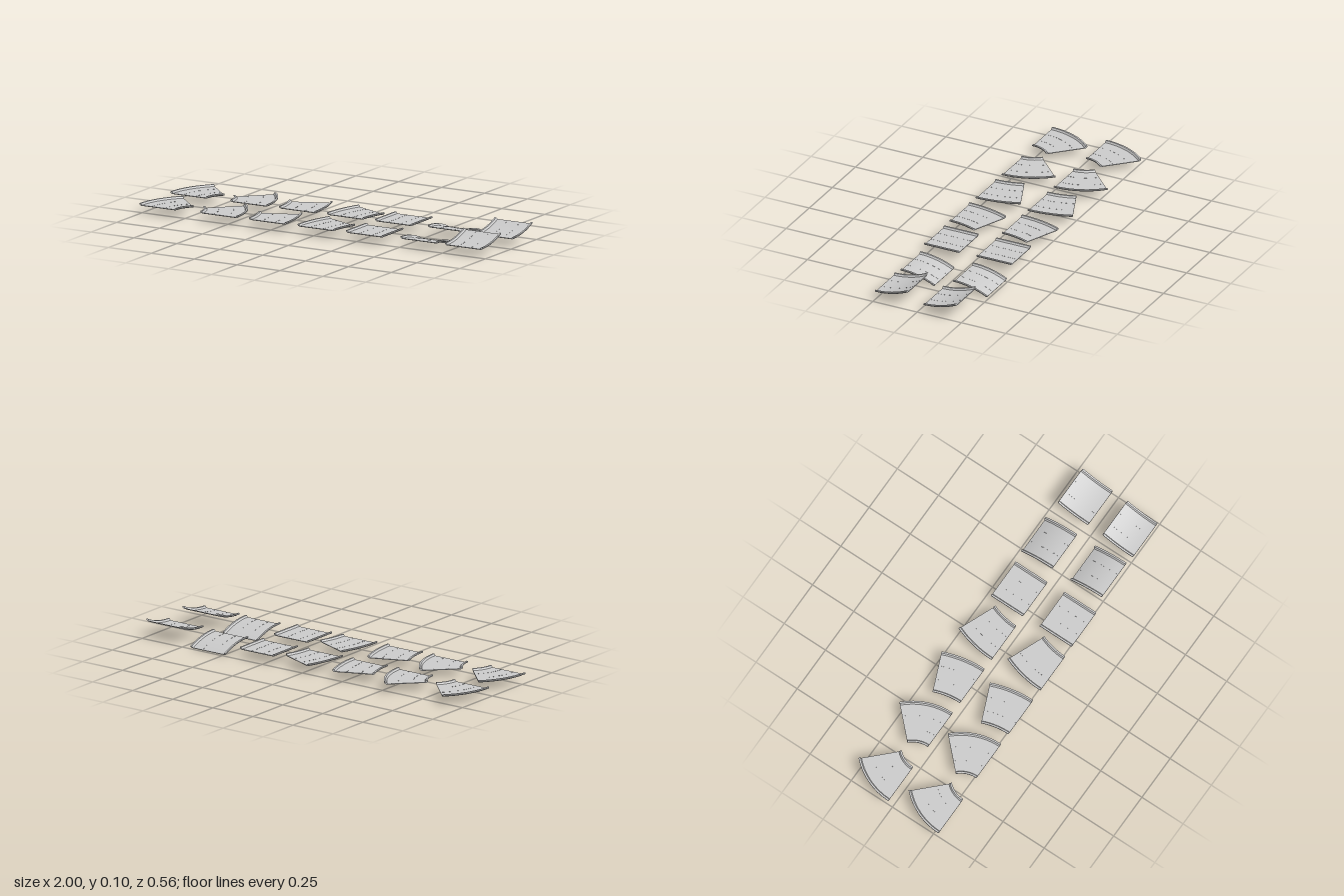
import * as THREE from 'three';
import { toCreasedNormals } from 'three/addons/utils/BufferGeometryUtils.js';

const BASE = 0.0425;   // underside height of the level tiles
const LENGTH = 0.193;

// Tile paths: map (side, height, t) to a point; travel runs towards -z
const straight = (s, h, t) => [s, h, -LENGTH * t];
const turn = (k, R, angle) => (s, h, t) => {
  const a = angle * t, r = R - k * s;
  return [k * (R - r * Math.cos(a)), h, -r * Math.sin(a)];
};
const ramp = (k, R, angle) => (s, h, t) => {
  const a = angle * t, r = R - k * h;
  return [s, k * (R - r * Math.cos(a)), -r * Math.sin(a)];
};

// Thin road slab with raised, flared kerbs (counter-clockwise)
const half = [[0.1, 0], [0.107, 0.004], [0.11, 0.007], [0.11, 0.0125], [0.101, 0.0125], [0.095, 0.0035]];
const roadProfile = [...half, ...half.map(([s, h]) => [-s, h]).reverse()];
const dashProfile = (c) => [[c - 0.0015, 0.003], [c + 0.0015, 0.003], [c + 0.0015, 0.0042], [c - 0.0015, 0.0042]];

// Sweep a closed profile along a path, with capped ends
function sweep(profile, path, t0, t1, steps) {
  const pos = [], n = profile.length;
  const at = (i, t) => path(...profile[i % n], t);
  for (let j = 0; j < steps; j++) {
    const u = t0 + (t1 - t0) * j / steps, v = t0 + (t1 - t0) * (j + 1) / steps;
    for (let i = 0; i < n; i++) {
      const a = at(i, u), b = at(i + 1, u), c = at(i + 1, v), d = at(i, v);
      pos.push(...a, ...d, ...c, ...a, ...c, ...b);
    }
  }
  const outline = profile.map(([s, h]) => new THREE.Vector2(s, h));
  for (const [a, b, c] of THREE.ShapeUtils.triangulateShape(outline, [])) {
    pos.push(...at(a, t0), ...at(b, t0), ...at(c, t0));
    pos.push(...at(a, t1), ...at(c, t1), ...at(b, t1));
  }
  const geo = new THREE.BufferGeometry();
  geo.setAttribute('position', new THREE.Float32BufferAttribute(pos, 3));
  return toCreasedNormals(geo, 0.4);
}

export function createModel() {
  const model = new THREE.Group();
  model.name = 'roadTileSet';
  const material = new THREE.MeshStandardMaterial({ color: 0xcccccc });

  // name, path, then start x and z in the back row and in the front row
  const tiles = [
    ['sharpRightCurve', turn(1, 0.245, Math.PI / 4), -0.89, -0.026, -0.89, 0.278],
    ['sharpLeftCurve', turn(-1, 0.245, Math.PI / 4), -0.54, -0.026, -0.54, 0.268],
    ['gentleLeftCurve', turn(-1, 0.49, Math.PI / 8), -0.257, -0.026, -0.257, 0.268],
    ['gentleRightCurve', turn(1, 0.49, Math.PI / 8), 0.022, -0.026, 0.026, 0.268],
    ['straight', straight, 0.302, -0.028, 0.307, 0.265],
    ['downRamp', ramp(-1, 0.425, 0.45), 0.596, -0.05, 0.61, 0.24],
    ['upRamp', ramp(1, 0.425, 0.45), 0.888, -0.034, 0.873, 0.248],
  ];

  for (const [name, path, bx, bz, fx, fz] of tiles) {
    const steps = name === 'straight' ? 1 : 8;
    const road = sweep(roadProfile, path, 0, 1, steps);
    // Two dashed lane lines
    const dashes = [];
    for (const c of [-0.037, 0.037]) {
      for (let i = 0; i < 6; i++) dashes.push(sweep(dashProfile(c), path, (i + 0.2) / 6, (i + 0.8) / 6, 2));
    }
    for (const [row, x, z] of [['back', bx, bz], ['front', fx, fz]]) {
      const tile = new THREE.Group();
      tile.name = `${name}Tile_${row}`;
      tile.position.set(x, BASE, z);
      const slab = new THREE.Mesh(road, material);
      slab.name = 'roadWithKerbs';
      tile.add(slab);
      for (const geo of dashes) {
        const dash = new THREE.Mesh(geo, material);
        dash.name = 'laneDash';
        tile.add(dash);
      }
      model.add(tile);
    }
  }
  return model;
}
